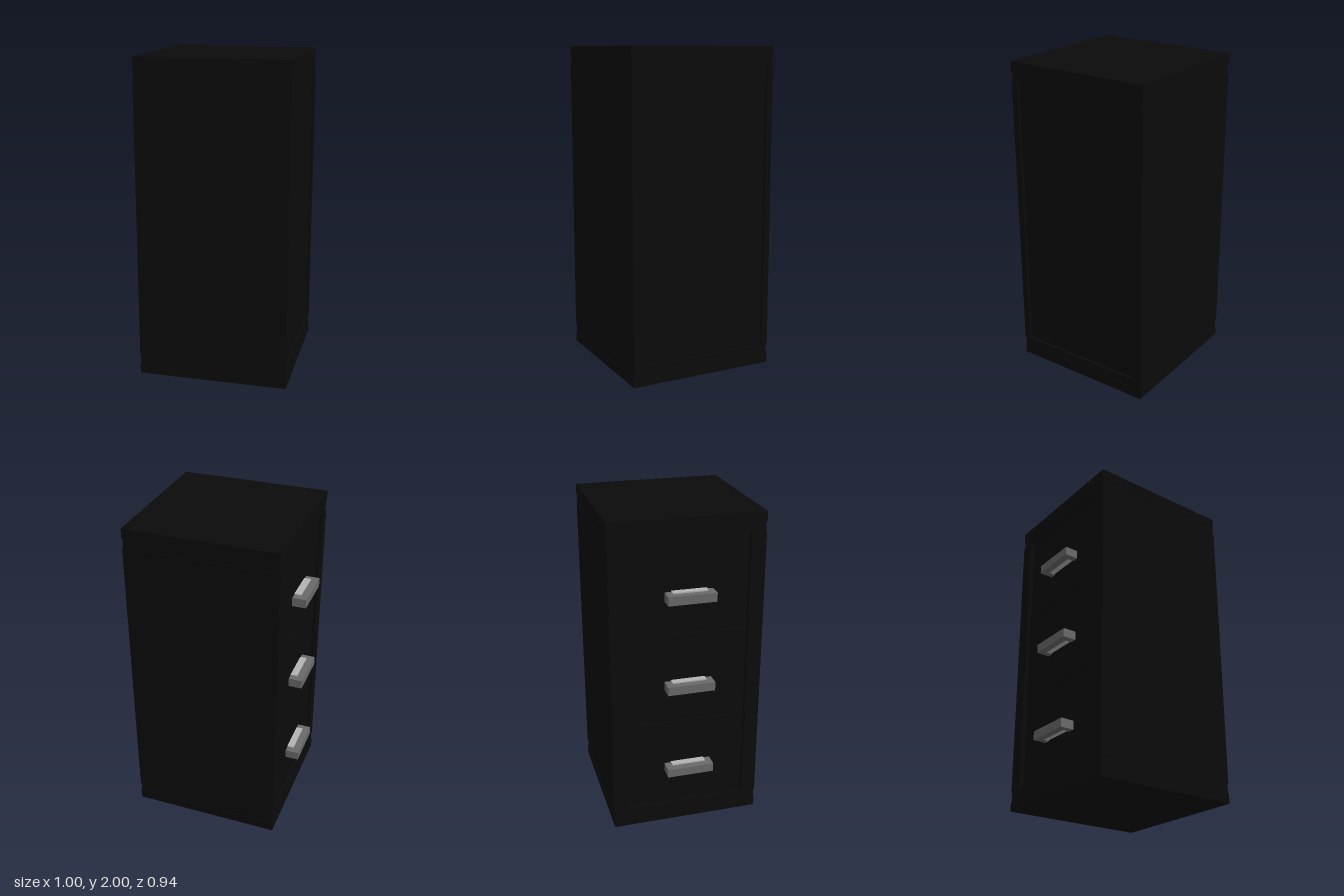
import * as THREE from 'three';

const black = new THREE.MeshStandardMaterial({ color: 0x0b0b0b });
const grey = new THREE.MeshStandardMaterial({ color: 0x6a6a6a });
const pale = new THREE.MeshStandardMaterial({ color: 0xb4b4b4 });

// Box given by its lower and upper limits on each axis
function block(parent, name, material, [x0, x1], [y0, y1], [z0, z1]) {
  const mesh = new THREE.Mesh(new THREE.BoxGeometry(x1 - x0, y1 - y0, z1 - z0), material);
  mesh.position.set((x0 + x1) / 2, (y0 + y1) / 2, (z0 + z1) / 2);
  mesh.name = name;
  parent.add(mesh);
  return mesh;
}

// U-shaped pull with a pale plate filling the gap
function createHandle(y) {
  const handle = new THREE.Group();
  handle.name = 'handle';
  const shape = new THREE.Shape();
  [[-0.41, -0.135], [-0.5, -0.135], [-0.5, 0.16], [-0.41, 0.16],
    [-0.41, 0.118], [-0.457, 0.118], [-0.457, -0.095], [-0.41, -0.095]]
    .forEach(([x, z], i) => (i ? shape.lineTo(x, -z) : shape.moveTo(x, -z)));
  const geometry = new THREE.ExtrudeGeometry(shape, { depth: 0.055, bevelEnabled: false });
  geometry.rotateX(-Math.PI / 2);
  const pull = new THREE.Mesh(geometry, grey);
  pull.name = 'pull';
  pull.position.y = -0.0275;
  handle.add(pull);
  block(handle, 'handlePlate', pale, [-0.457, -0.41], [-0.02, 0.035], [-0.095, 0.118]);
  handle.position.y = y;
  return handle;
}

export function createModel() {
  const cabinet = new THREE.Group();
  cabinet.name = 'drawerCabinet';

  // Carcass, with its plain panel set back on the +x side
  block(cabinet, 'carcass', black, [-0.4, 0.48], [0.1, 1.9], [-0.435, 0.435]);

  // Top and base: outer slab plus a hair-inset trim
  block(cabinet, 'topSlab', black, [-0.44, 0.5], [1.94, 2], [-0.47, 0.47]);
  block(cabinet, 'topTrim', black, [-0.436, 0.496], [1.88, 1.94], [-0.466, 0.466]);
  block(cabinet, 'baseSlab', black, [-0.44, 0.5], [0, 0.06], [-0.47, 0.47]);
  block(cabinet, 'baseTrim', black, [-0.436, 0.496], [0.06, 0.12], [-0.466, 0.466]);

  // Side panels and the wider stiles beside the drawers
  for (const s of [-1, 1]) {
    const span = (a, b) => (s > 0 ? [a, b] : [-b, -a]);
    block(cabinet, 'sidePanel', black, [-0.44, 0.5], [0.12, 1.88], span(0.43, 0.47));
    block(cabinet, 'drawerStile', black, [-0.44, -0.38], [0.12, 1.88], span(0.38, 0.43));
  }

  // Three drawers facing -x
  for (let i = 0; i < 3; i++) {
    const bottom = 0.125 + i * 0.585;
    block(cabinet, 'drawerFront', black, [-0.415, -0.39], [bottom, bottom + 0.575], [-0.375, 0.375]);
    cabinet.add(createHandle(0.382 + i * 0.575));
  }
  return cabinet;
}
